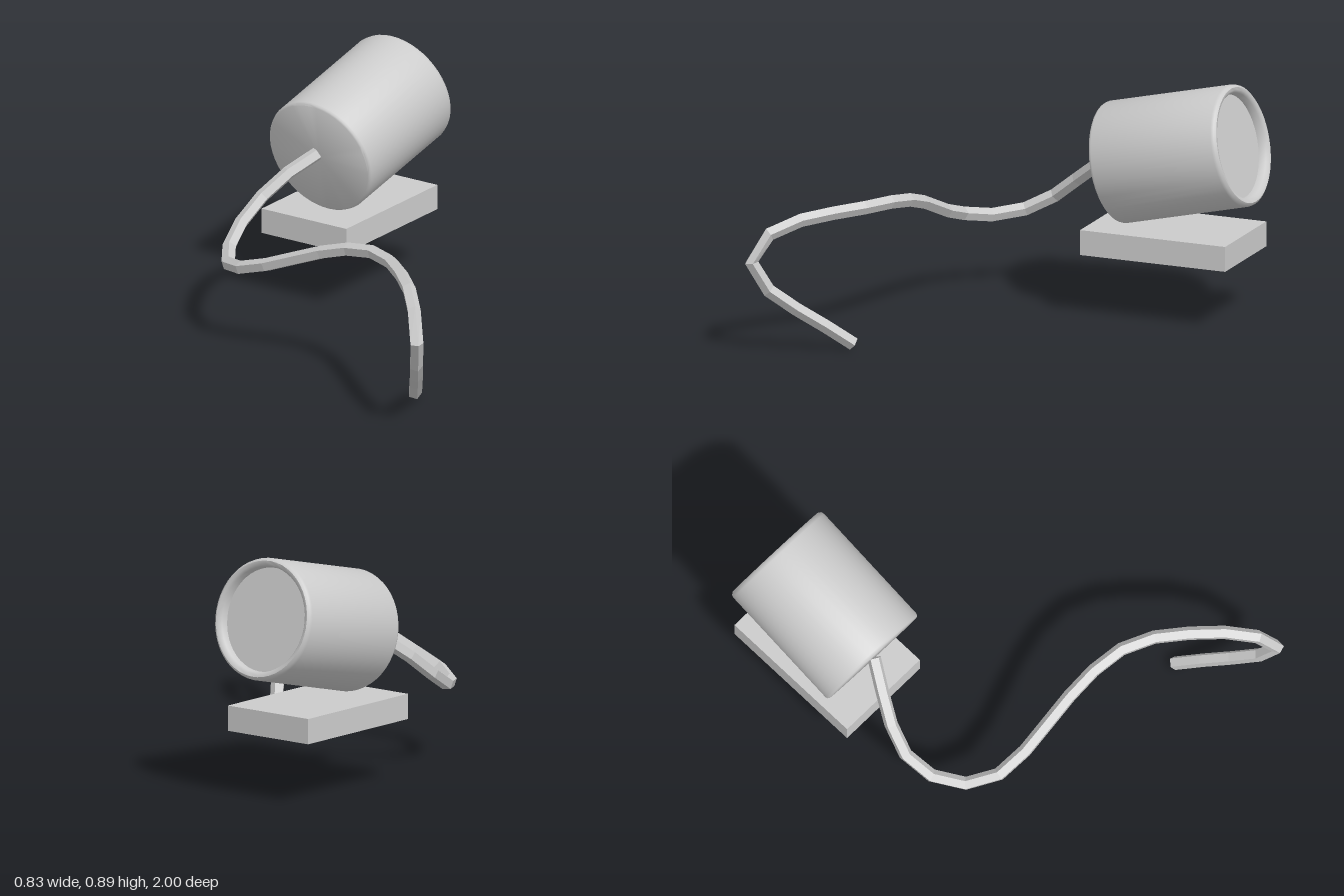
import * as THREE from 'three';
import { toCreasedNormals } from 'three/addons/utils/BufferGeometryUtils.js';

const grey = new THREE.MeshStandardMaterial({ color: 0xcccccc });
const facetedGrey = new THREE.MeshStandardMaterial({ color: 0xcccccc, flatShading: true, side: THREE.DoubleSide });

function addMesh(parent, name, geometry, material = grey) {
  const mesh = new THREE.Mesh(geometry, material);
  mesh.name = name;
  parent.add(mesh);
  return mesh;
}

// Fan that closes one end ring of a tube
function endCap(tube, ring, sides) {
  const source = tube.attributes.position;
  const positions = [];
  const point = new THREE.Vector3();
  for (let i = 1; i < sides - 1; i++) {
    for (const k of [0, i, i + 1]) {
      point.fromBufferAttribute(source, ring * (sides + 1) + k);
      positions.push(point.x, point.y, point.z);
    }
  }
  const cap = new THREE.BufferGeometry();
  cap.setAttribute('position', new THREE.Float32BufferAttribute(positions, 3));
  cap.computeVertexNormals();
  return cap;
}

export function createModel() {
  const model = new THREE.Group();
  model.name = 'canWithCable';

  // Tilted can with a softened base edge and a shallow recess behind the rim
  const profile = [
    [0, 0], [0.216, 0], [0.222, 0.004], [0.225, 0.012],
    [0.225, 0.505], [0.222, 0.516], [0.213, 0.523], [0.203, 0.521], [0.194, 0.512],
    [0.191, 0.485], [0, 0.485],
  ].map(([r, y]) => new THREE.Vector2(r, y));
  const can = addMesh(model, 'can', toCreasedNormals(new THREE.LatheGeometry(profile, 48), 0.7));
  const base = new THREE.Vector3(-0.064, 0.552, -0.45);
  const mouth = new THREE.Vector3(0.236, 0.675, -0.86);
  can.position.copy(base);
  can.quaternion.setFromUnitVectors(new THREE.Vector3(0, 1, 0), mouth.sub(base).normalize());

  // Flat block under the can
  const block = addMesh(model, 'block', new THREE.BoxGeometry(0.377, 0.094, 0.575));
  block.position.set(0.046, 0.284, -0.638);
  block.rotation.y = -0.613;

  // Winding cable from its free end to the can's base
  const path = new THREE.CatmullRomCurve3([
    [0.285, 0.022, 0.6], [0.288, 0.12, 0.74], [0.289, 0.22, 0.89], [0.29, 0.29, 0.955],
    [0.29, 0.37, 0.98], [0.283, 0.44, 0.93], [0.27, 0.485, 0.83], [0.24, 0.503, 0.69],
    [0.2, 0.508, 0.55], [0.13, 0.505, 0.43], [0.01, 0.473, 0.32], [-0.13, 0.41, 0.225],
    [-0.26, 0.348, 0.14], [-0.37, 0.3, 0.03], [-0.398, 0.285, -0.1], [-0.375, 0.325, -0.235],
    [-0.31, 0.4, -0.32], [-0.2, 0.495, -0.385], [-0.07, 0.568, -0.445],
  ].map((p) => new THREE.Vector3(...p)));
  const segments = 20, sides = 5;
  const tube = new THREE.TubeGeometry(path, segments, 0.026, sides);
  const cable = new THREE.Group();
  cable.name = 'cable';
  model.add(cable);
  addMesh(cable, 'cableTube', tube, facetedGrey);
  addMesh(cable, 'cableFreeEnd', endCap(tube, 0, sides), facetedGrey);
  addMesh(cable, 'cableCanEnd', endCap(tube, segments, sides), facetedGrey);

  return model;
}
